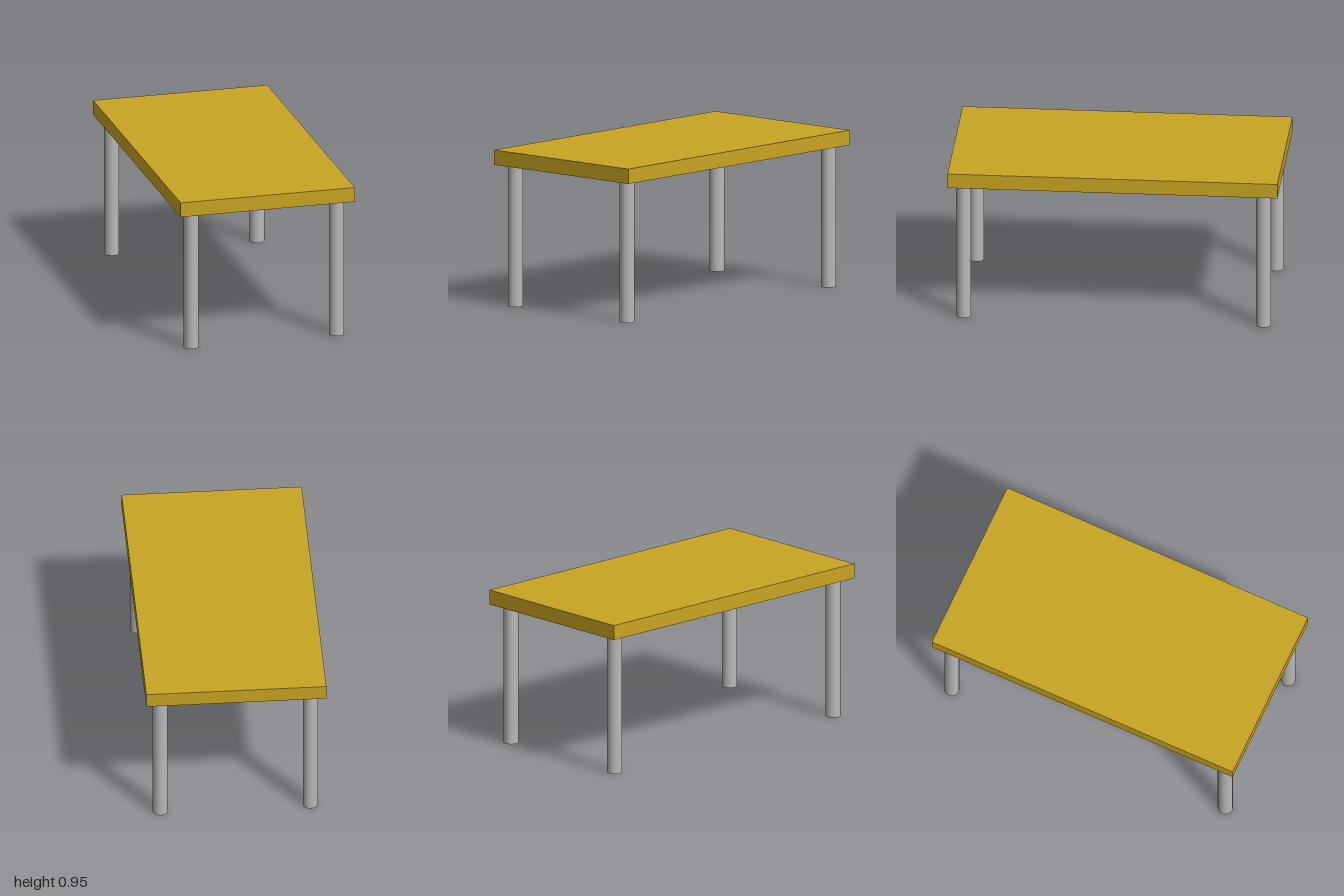
import * as THREE from 'three';

const U = 1 / 22; // leg radius, the module for all sizes

export function createModel() {
  const table = new THREE.Group();
  table.name = 'table';

  const gold = new THREE.MeshStandardMaterial({ color: 0xc9a522 });
  gold.name = 'gold top';
  const grey = new THREE.MeshStandardMaterial({ color: 0xb8b8b8 });
  grey.name = 'grey metal';

  // Rectangular slab
  const top = new THREE.Mesh(new THREE.BoxGeometry(24 * U, 2 * U, 44 * U), gold);
  top.name = 'tableTop';
  top.position.y = 20 * U;
  table.add(top);

  // Four round legs, one at each corner
  const legGeometry = new THREE.CylinderGeometry(U, U, 19 * U, 32);
  for (const [side, sx] of [['Left', 1], ['Right', -1]]) {
    for (const [end, sz] of [['front', 1], ['back', -1]]) {
      const leg = new THREE.Mesh(legGeometry, grey);
      leg.name = `${end}${side}Leg`;
      leg.position.set(sx * 10 * U, 9.5 * U, sz * 20 * U);
      table.add(leg);
    }
  }
  return table;
}
